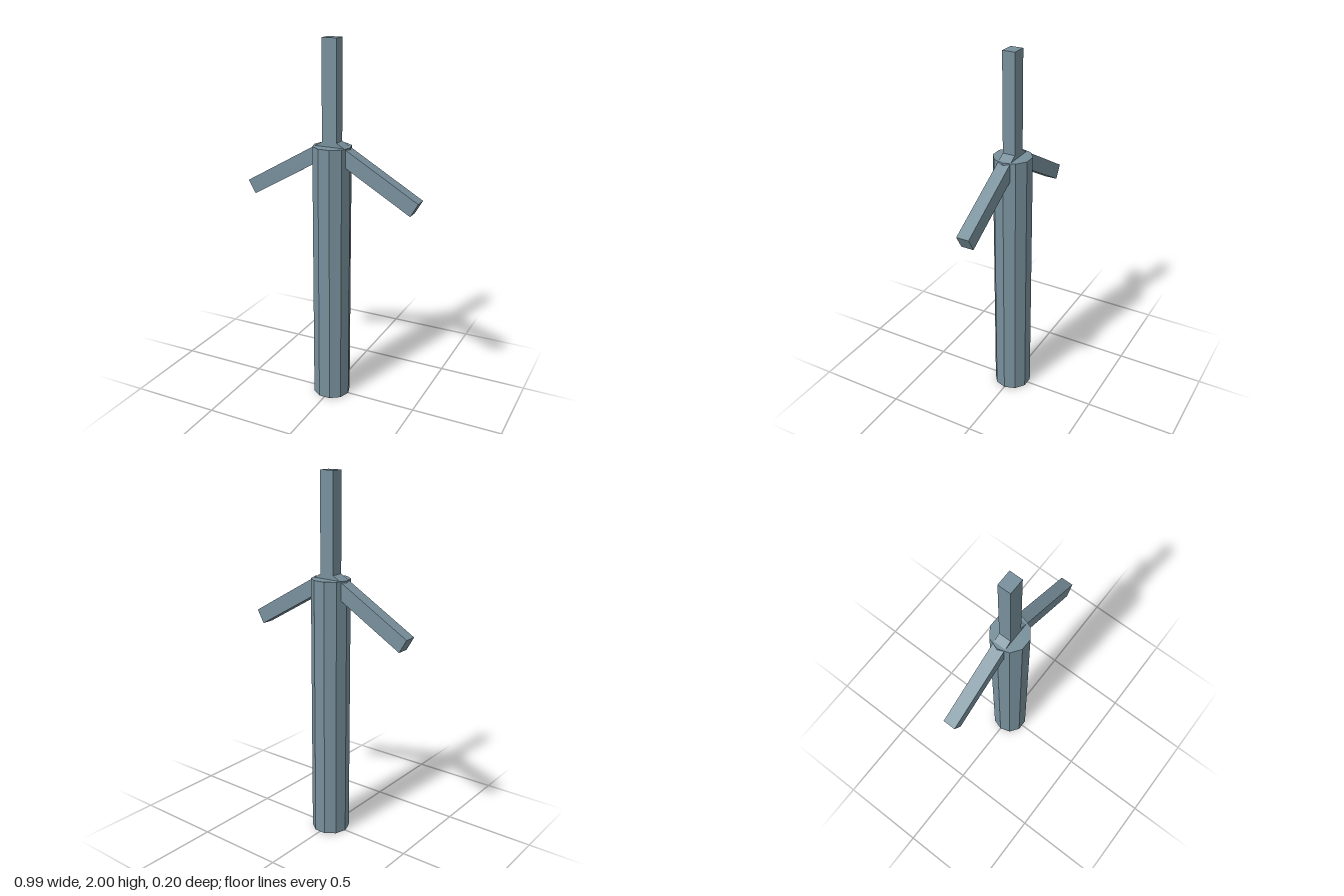
import * as THREE from 'three';

export function createModel() {
  const model = new THREE.Group();
  model.name = 'windTurbine';
  const slate = new THREE.MeshStandardMaterial({ color: 0x78909c });
  slate.name = 'slate grey';

  const hubY = 1.45;
  const bladeLength = 0.55;

  // ten-sided tower with corners on the x axis, faceted by flat normals
  const towerGeometry = new THREE.CylinderGeometry(0.104, 0.104, hubY, 10).toNonIndexed();
  towerGeometry.rotateY(Math.PI / 2);
  towerGeometry.translate(0, hubY / 2, 0);
  towerGeometry.computeVertexNormals();
  const tower = new THREE.Mesh(towerGeometry, slate);
  tower.name = 'tower';
  model.add(tower);

  // three blades fanned out from the hub at the tower top
  const bladeGeometry = new THREE.BoxGeometry(0.083, bladeLength, 0.069);
  bladeGeometry.translate(0, bladeLength / 2, 0);
  const rotor = new THREE.Group();
  rotor.name = 'rotor';
  rotor.position.y = hubY;
  ['topBlade', 'rightBlade', 'leftBlade'].forEach((name, i) => {
    const blade = new THREE.Mesh(bladeGeometry, slate);
    blade.name = name;
    blade.rotation.z = (i * Math.PI * 2) / 3;
    rotor.add(blade);
  });
  model.add(rotor);

  return model;
}
